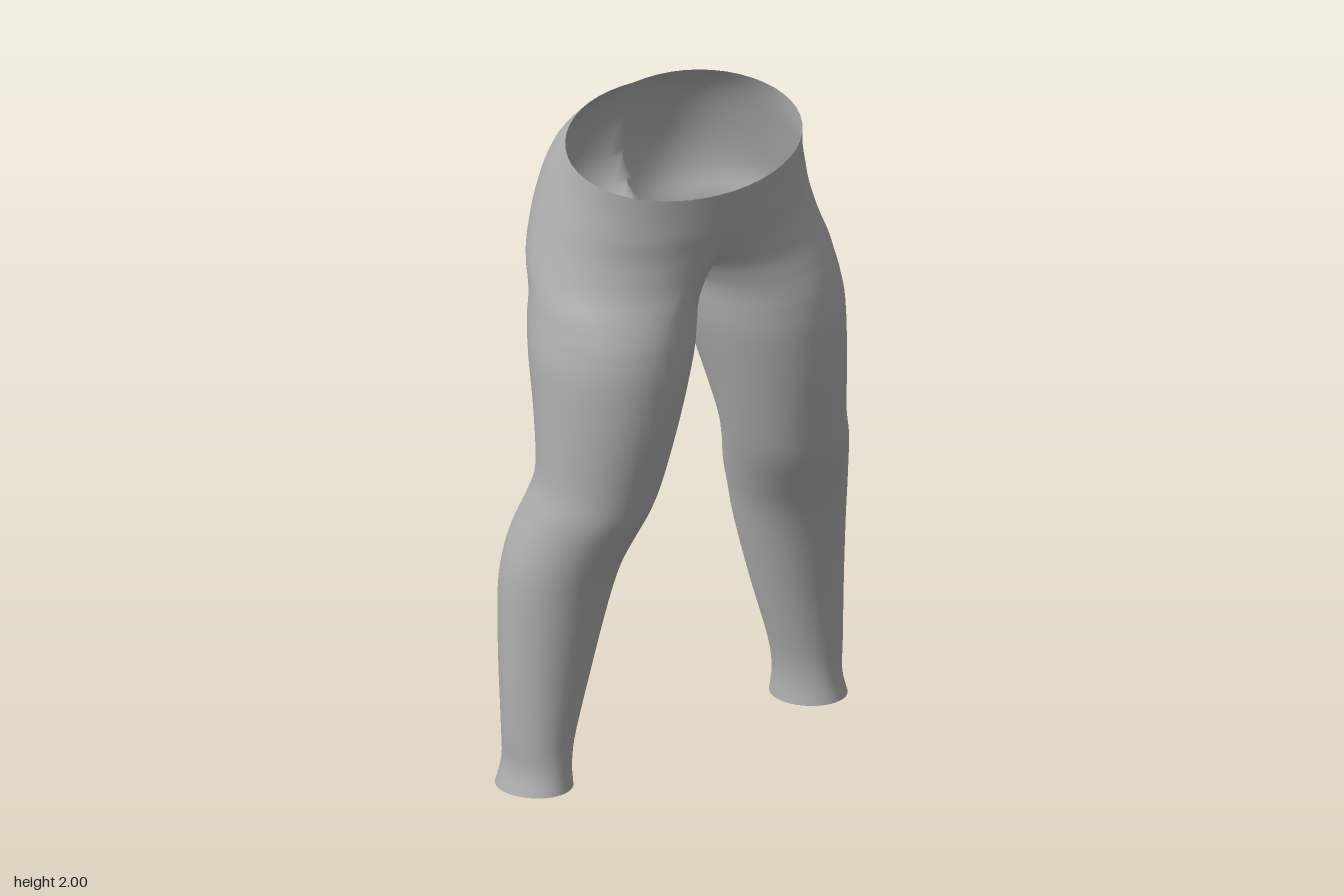
import * as THREE from 'three';
import { mergeVertices } from 'three/addons/utils/BufferGeometryUtils.js';

// Leg sections: height, outer x, inner x, front z, back z
const LEG = [
  [0.025, 0.545, 0.355, 0.112, -0.15],
  [0.1, 0.53, 0.357, 0.1, -0.132],
  [0.2, 0.535, 0.34, 0.098, -0.13],
  [0.4, 0.54, 0.285, 0.112, -0.152],
  [0.6, 0.54, 0.235, 0.138, -0.172],
  [0.72, 0.533, 0.207, 0.165, -0.17],
  [0.82, 0.515, 0.178, 0.203, -0.155],
  [0.92, 0.492, 0.15, 0.243, -0.122],
  [1.02, 0.472, 0.123, 0.262, -0.106],
  [1.2, 0.47, 0.073, 0.286, -0.14],
  [1.36, 0.472, 0.027, 0.292, -0.178],
  [1.45, 0.463, 0.008, 0.284, -0.2],
].map(([y, X, I, f, b]) => [y, X, I, I, f, b, (X + I) / 2, (X + I) / 2]);

// Hip sections: height, outer x, inner x (front, back), front z, back z, lobe centre x (front, back)
const HIP = [
  [1.5, 0.455, -0.001, -0.001, 0.274, -0.21, 0.22, 0.21],
  [1.55, 0.447, -0.022, -0.015, 0.262, -0.226, 0.19, 0.19],
  [1.62, 0.43, -0.08, -0.06, 0.25, -0.275, 0.14, 0.17],
  [1.71, 0.405, -0.18, -0.13, 0.258, -0.295, 0.07, 0.16],
  [1.8, 0.382, -0.25, -0.18, 0.275, -0.282, 0.03, 0.15],
  [1.88, 0.362, -0.3, -0.27, 0.285, -0.25, 0.01, 0.12],
  [1.952, 0.35, -0.35, -0.35, 0.295, -0.205, 0, 0.04],
];
const ROWS = [...LEG, ...HIP];
const STEPS = 4, AROUND = 48;

// Smooth blend between neighbouring sections
function section(v) {
  const i = Math.min(Math.floor(v), ROWS.length - 2), t = v - i;
  const at = (k) => ROWS[Math.max(0, Math.min(ROWS.length - 1, k))];
  const [p, q, r, s] = [at(i - 1), at(i), at(i + 1), at(i + 2)];
  return q.map((_, k) => q[k] + 0.5 * t * (r[k] - p[k]
    + t * (2 * p[k] - 5 * q[k] + 4 * r[k] - s[k] + t * (3 * (q[k] - r[k]) + s[k] - p[k]))));
}

// Point on a section; above the crotch it stops at the centre plane
function ringPoint([y, X, IF, IB, zf, zb, cF, cB], a) {
  const zc = (zf + zb) / 2, rz = (zf - zb) / 2;
  const xAt = (ang) => {
    const t = (Math.sin(ang) + 1) / 2, co = Math.cos(ang);
    const c = cB + (cF - cB) * t, inner = IB + (IF - IB) * t;
    return c + (co > 0 ? X - c : c - inner) * co;
  };
  let x = xAt(a);
  if (x < 1e-5) {
    let lo = a <= Math.PI ? Math.PI / 2 : 1.5 * Math.PI, hi = Math.PI;
    for (let n = 0; n < 30; n++) {
      const mid = (lo + hi) / 2;
      if (xAt(mid) > 0) lo = mid; else hi = mid;
    }
    a = lo;
    x = 0;
  }
  const dz = rz * Math.sin(a);
  // Slanted waistband and ankle openings
  const top = THREE.MathUtils.smoothstep(y, 1.65, 1.95);
  const slope = 0.2 * Math.max(0, 1 - y / 0.25) - 0.2 * top;
  return [x, y + slope * dz, zc + dz];
}

function trouserGeometry() {
  const pos = [], index = [];
  const rings = (ROWS.length - 1) * STEPS + 1;
  for (const side of [1, -1]) {
    const base = pos.length / 3;
    for (let j = 0; j < rings; j++) {
      const s = section(j / STEPS);
      for (let i = 0; i < AROUND; i++) {
        const [x, y, z] = ringPoint(s, (i / AROUND) * Math.PI * 2);
        pos.push(x === 0 ? 0 : side * x, y, z);
      }
    }
    // Faces lying wholly in the centre plane are left out
    const face = (a, b, c) => {
      if ([a, b, c].every((k) => pos[k * 3] === 0)) return;
      if (side > 0) index.push(a, b, c); else index.push(a, c, b);
    };
    for (let j = 0; j < rings - 1; j++) {
      for (let i = 0; i < AROUND; i++) {
        const n = (i + 1) % AROUND;
        const a = base + j * AROUND + i, b = base + j * AROUND + n;
        face(a, a + AROUND, b);
        face(b, a + AROUND, b + AROUND);
      }
    }
  }
  const g = new THREE.BufferGeometry();
  g.setAttribute('position', new THREE.Float32BufferAttribute(pos, 3));
  g.setIndex(index);
  const merged = mergeVertices(g, 1e-5);
  merged.computeVertexNormals();
  return merged;
}

export function createModel() {
  const fabric = new THREE.MeshStandardMaterial({ color: 0xb0b0b0, side: THREE.DoubleSide });
  fabric.name = 'grey fabric';
  const leggings = new THREE.Mesh(trouserGeometry(), fabric);
  leggings.name = 'leggings';
  const group = new THREE.Group();
  group.name = 'trousers';
  group.add(leggings);
  return group;
}
